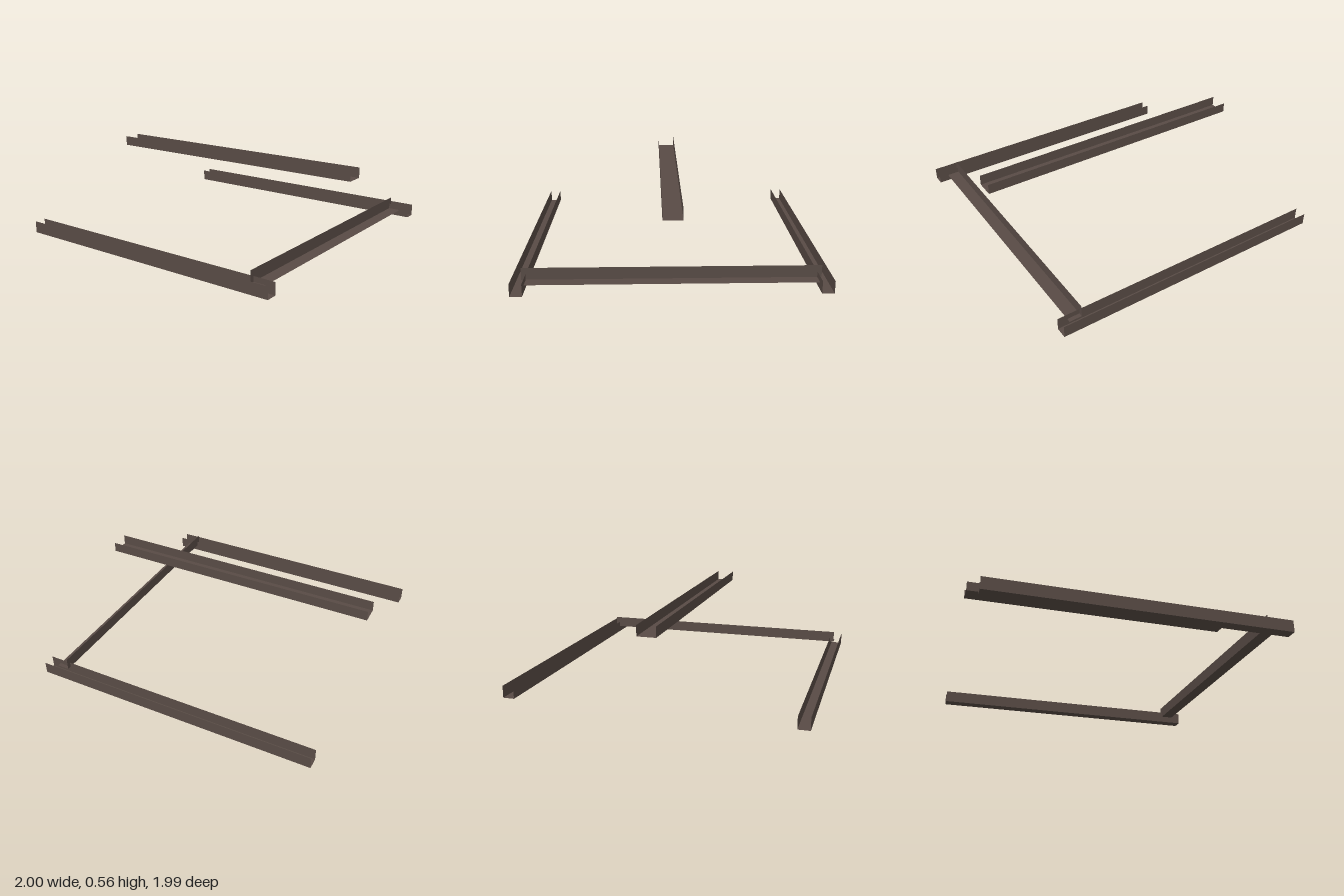
import * as THREE from 'three';

const steel = new THREE.MeshStandardMaterial({ color: 0x584b45, side: THREE.DoubleSide });
steel.name = 'brown steel';

// Sheet-metal section: an open profile of [x, y] points swept along z, centred on z = 0
function sheetProfile(name, points, length) {
  const pos = [];
  const h = length / 2;
  for (let i = 0; i < points.length - 1; i++) {
    const [ax, ay] = points[i];
    const [bx, by] = points[i + 1];
    pos.push(ax, ay, h, bx, by, h, bx, by, -h);
    pos.push(ax, ay, h, bx, by, -h, ax, ay, -h);
  }
  const geo = new THREE.BufferGeometry();
  geo.setAttribute('position', new THREE.Float32BufferAttribute(pos, 3));
  geo.computeVertexNormals();
  const mesh = new THREE.Mesh(geo, steel);
  mesh.name = name;
  return mesh;
}

// U section open at the top, wound so its faces point outwards
function channel(name, width, height, length) {
  const w = width / 2;
  return sheetProfile(name, [[w, height], [w, 0], [-w, 0], [-w, height]].reverse(), length);
}

export function createModel() {
  const model = new THREE.Group();
  model.name = 'railFrame';
  const length = 1.99;

  // Low side rails
  for (const [name, side] of [['leftRail', 1], ['rightRail', -1]]) {
    const rail = channel(name, 0.078, 0.082, length);
    rail.position.x = side * 0.961;
    model.add(rail);
  }

  // Raised, wider centre rail
  const centre = channel('centreRail', 0.126, 0.07, length);
  centre.position.y = 0.485;
  model.add(centre);

  // Angle crossbar: upright web at the back, flange reaching forward
  const bar = sheetProfile('frontCrossbar', [[0, 0.08], [0, 0], [-0.086, 0]], 1.9);
  bar.rotation.y = Math.PI / 2;
  bar.position.set(0, 0.046, 0.842);
  model.add(bar);

  return model;
}
